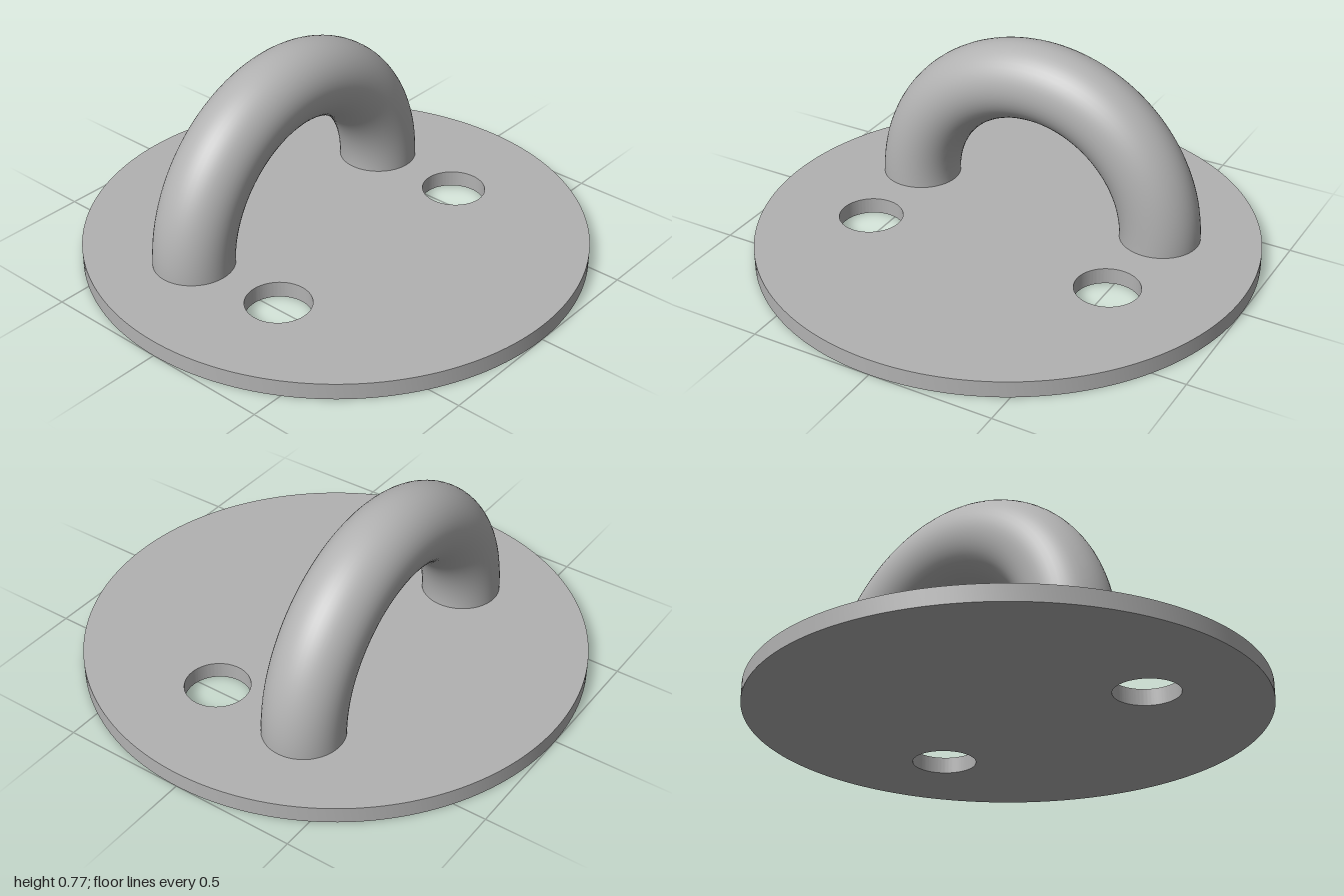
import * as THREE from 'three';
import { toCreasedNormals } from 'three/addons/utils/BufferGeometryUtils.js';

const PLATE_HEIGHT = 0.066;

export function createModel() {
  const model = new THREE.Group();
  model.name = 'padEye';
  const steel = new THREE.MeshStandardMaterial({ color: 0xb2b2b2 });
  steel.name = 'grey steel';

  // Round base plate with two screw holes
  const disc = new THREE.Shape();
  disc.absarc(0, 0, 1, 0, Math.PI * 2, false);
  for (const side of [-1, 1]) {
    const hole = new THREE.Path();
    hole.absarc(side * 0.53, -0.18, 0.128, 0, Math.PI * 2, true);
    disc.holes.push(hole);
  }
  const plateGeometry = new THREE.ExtrudeGeometry(disc, {
    depth: PLATE_HEIGHT, bevelEnabled: false, curveSegments: 96,
  });
  plateGeometry.rotateX(-Math.PI / 2);
  const plate = new THREE.Mesh(toCreasedNormals(plateGeometry, Math.PI / 6), steel);
  plate.name = 'basePlate';
  model.add(plate);

  // Half-ring loop standing on the plate, behind the holes
  const loop = new THREE.Mesh(new THREE.TorusGeometry(0.549, 0.16, 48, 72, Math.PI), steel);
  loop.name = 'loop';
  loop.position.set(0, PLATE_HEIGHT, -0.243);
  model.add(loop);

  return model;
}
